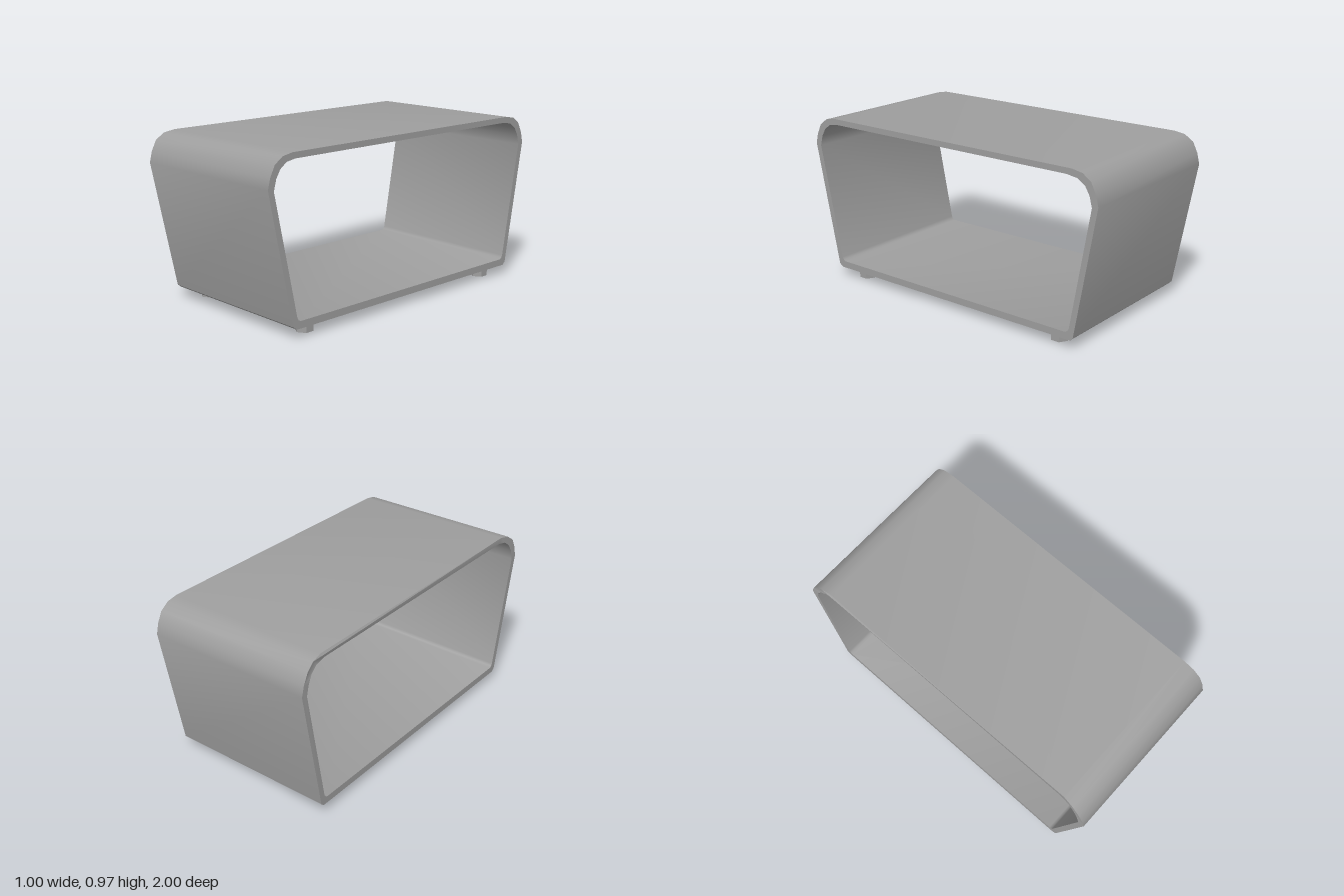
import * as THREE from 'three';
import { toCreasedNormals } from 'three/addons/utils/BufferGeometryUtils.js';

const material = new THREE.MeshStandardMaterial({ color: 0x9e9e9e, side: THREE.DoubleSide });

// Cross-sections as [z, y], running from the front foot edge over the top to the back
const outer = [
  [0.825, 0.055], [0.848, 0.072], [1, 0.8], [0.985, 0.86], [0.955, 0.92], [0.905, 0.956], [0.84, 0.968],
  [-0.84, 0.968], [-0.905, 0.956], [-0.955, 0.92], [-0.985, 0.86], [-1, 0.8], [-0.868, 0.072], [-0.85, 0.055],
];
const inner = [
  [0.8, 0.095], [0.814, 0.103], [0.822, 0.118],
  [0.963, 0.79], [0.947, 0.85], [0.92, 0.895], [0.88, 0.925], [0.825, 0.935],
  [-0.81, 0.935], [-0.875, 0.925], [-0.92, 0.895], [-0.947, 0.85], [-0.963, 0.79],
  [-0.842, 0.118], [-0.834, 0.103], [-0.82, 0.095],
];
const toPoints = (profile) => profile.map(([z, y]) => new THREE.Vector2(-z, y));

// Open-ended band with rounded upper corners and tapering sides
function shellGeometry() {
  const shape = new THREE.Shape(toPoints(outer));
  shape.holes.push(new THREE.Path(toPoints(inner)));
  const geometry = new THREE.ExtrudeGeometry(shape, { depth: 1, bevelEnabled: false });
  geometry.rotateY(Math.PI / 2).translate(-0.5, 0, 0);

  // The top edge of the right-hand opening is set back slightly
  const p = geometry.attributes.position;
  for (let i = 0; i < p.count; i++) {
    if (p.getX(i) < -0.49 && p.getY(i) > 0.85) {
      const t = THREE.MathUtils.clamp((0.955 - Math.abs(p.getZ(i))) / 0.115, 0, 1);
      p.setX(i, -0.5 + 0.015 * t);
    }
  }
  return toCreasedNormals(geometry, 0.58);
}

export function createModel() {
  const model = new THREE.Group();
  model.name = 'openBox';

  const shell = new THREE.Mesh(shellGeometry(), material);
  shell.name = 'shell';
  model.add(shell);

  // Four hollow hexagonal feet
  const footMaterial = material.clone();
  footMaterial.flatShading = true;
  const footGeometry = new THREE.CylinderGeometry(0.051, 0.051, 0.058, 6, 1, true);
  for (const x of [-0.4, 0.412]) {
    for (const z of [0.698, -0.727]) {
      const foot = new THREE.Mesh(footGeometry, footMaterial);
      foot.name = `${z > 0 ? 'front' : 'back'}${x > 0 ? 'Left' : 'Right'}Foot`;
      foot.position.set(x, 0.029, z);
      model.add(foot);
    }
  }
  return model;
}
